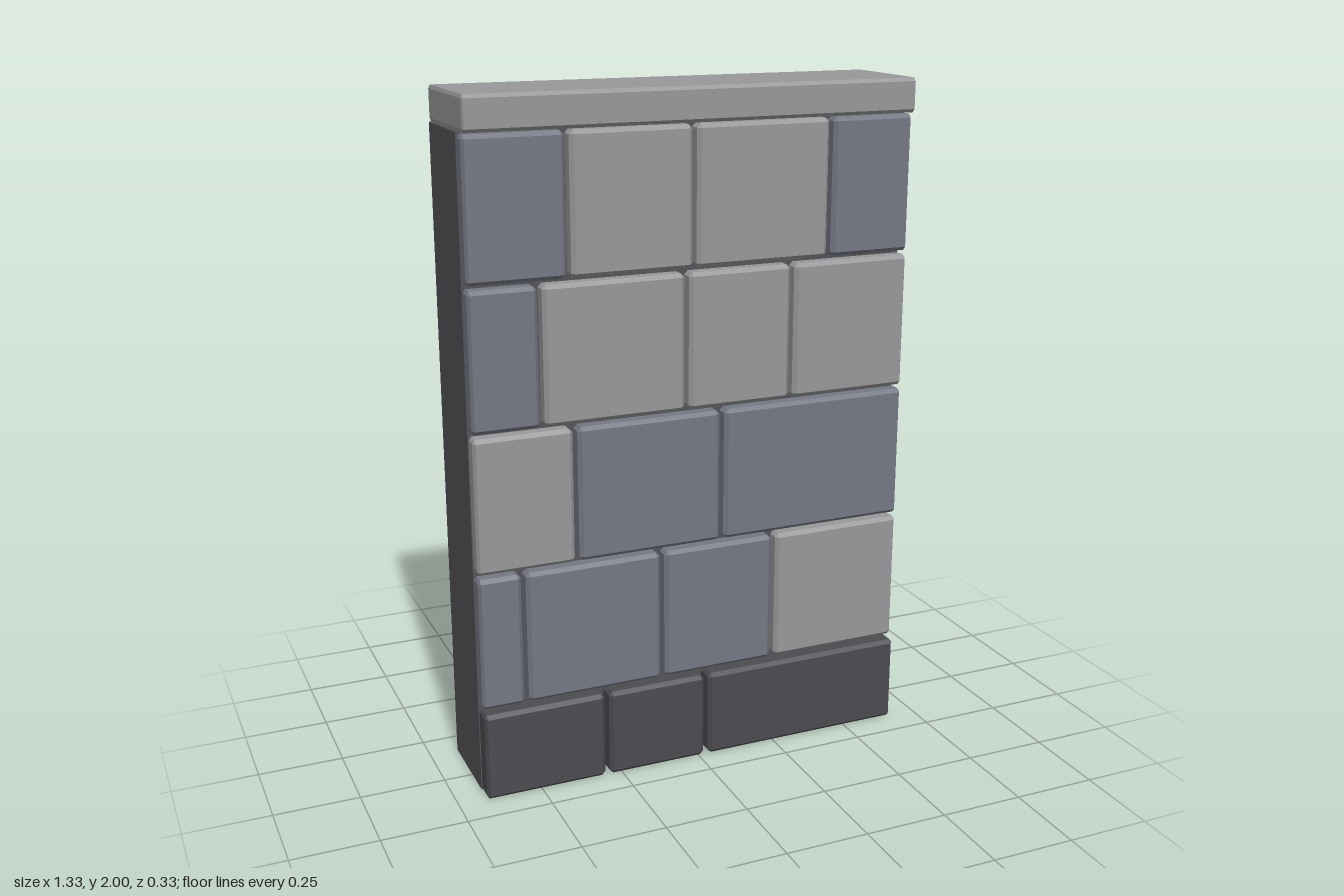
import * as THREE from 'three';
import { ConvexGeometry } from 'three/addons/geometries/ConvexGeometry.js';

const HALF_W = 0.665, BACK = -0.165, CORE_FRONT = 0.095, JOINT = 0.007;

function material(name, color) {
  const m = new THREE.MeshStandardMaterial({ color });
  m.name = name;
  return m;
}

// Box between two corners with all edges chamfered; left/right bevels may differ
function chamferedBox(min, max, bevel, bevelLeft = bevel, bevelRight = bevel) {
  const points = [];
  for (const i of [0, 1]) for (const j of [0, 1]) for (const k of [0, 1]) {
    const x = i ? max[0] : min[0], y = j ? max[1] : min[1], z = k ? max[2] : min[2];
    const dx = i ? -bevelRight : bevelLeft;
    const dy = j ? -bevel : bevel, dz = k ? -bevel : bevel;
    points.push(
      new THREE.Vector3(x, y + dy, z + dz),
      new THREE.Vector3(x + dx, y, z + dz),
      new THREE.Vector3(x + dx, y + dy, z));
  }
  return new ConvexGeometry(points);
}

export function createModel() {
  const wall = new THREE.Group();
  wall.name = 'stoneWall';

  const mats = {
    L: material('light stone', 0x98989a),
    B: material('blue grey stone', 0x747884),
    D: material('dark base stone', 0x4c4b50),
  };
  const mortar = material('mortar', 0x535359);
  const plaster = material('plaster', 0xb7aa8d);

  // Mortar core with a plastered back face
  const coreHeight = 1.9;
  const core = new THREE.Mesh(
    new THREE.BoxGeometry(HALF_W * 2, coreHeight, CORE_FRONT - BACK),
    [mortar, mortar, mortar, mortar, mortar, plaster]);
  core.name = 'core';
  core.position.set(0, coreHeight / 2, (CORE_FRONT + BACK) / 2);
  wall.add(core);

  // Courses of stone: height range, front depth, joint positions, stone tones
  const courses = [
    { name: 'baseCourse', y: [0, 0.265], z: 0.165, joints: [-0.294, 0.024], tones: 'DDD' },
    { name: 'firstCourse', y: [0.278, 0.674], z: 0.15, joints: [-0.533, -0.111, 0.249], tones: 'BBBL' },
    { name: 'secondCourse', y: [0.687, 1.082], z: 0.15, joints: [-0.371, 0.077], tones: 'LBB' },
    { name: 'thirdCourse', y: [1.095, 1.49], z: 0.15, joints: [-0.464, -0.034, 0.294], tones: 'BLLL' },
    { name: 'topCourse', y: [1.503, 1.897], z: 0.15, joints: [-0.379, -0.011, 0.408], tones: 'BLLB' },
  ];
  for (const { name, y, z, joints, tones } of courses) {
    const course = new THREE.Group();
    course.name = name;
    const edges = [-HALF_W, ...joints, HALF_W];
    const last = tones.length - 1;
    [...tones].forEach((tone, i) => {
      const x0 = edges[i] + (i > 0 ? JOINT : 0);
      const x1 = edges[i + 1] - (i < last ? JOINT : 0);
      const geometry = chamferedBox([x0, y[0], CORE_FRONT], [x1, y[1], z], 0.011,
        i > 0 ? 0.011 : 0.007, i < last ? 0.011 : 0.007);
      const stone = new THREE.Mesh(geometry, mats[tone]);
      stone.name = 'stone';
      course.add(stone);
    });
    wall.add(course);
  }

  // Coping slab along the top
  const coping = new THREE.Mesh(
    chamferedBox([-HALF_W, 1.902, BACK], [HALF_W, 2, 0.165], 0.01, 0.004, 0.004), mats.L);
  coping.name = 'coping';
  wall.add(coping);

  return wall;
}
